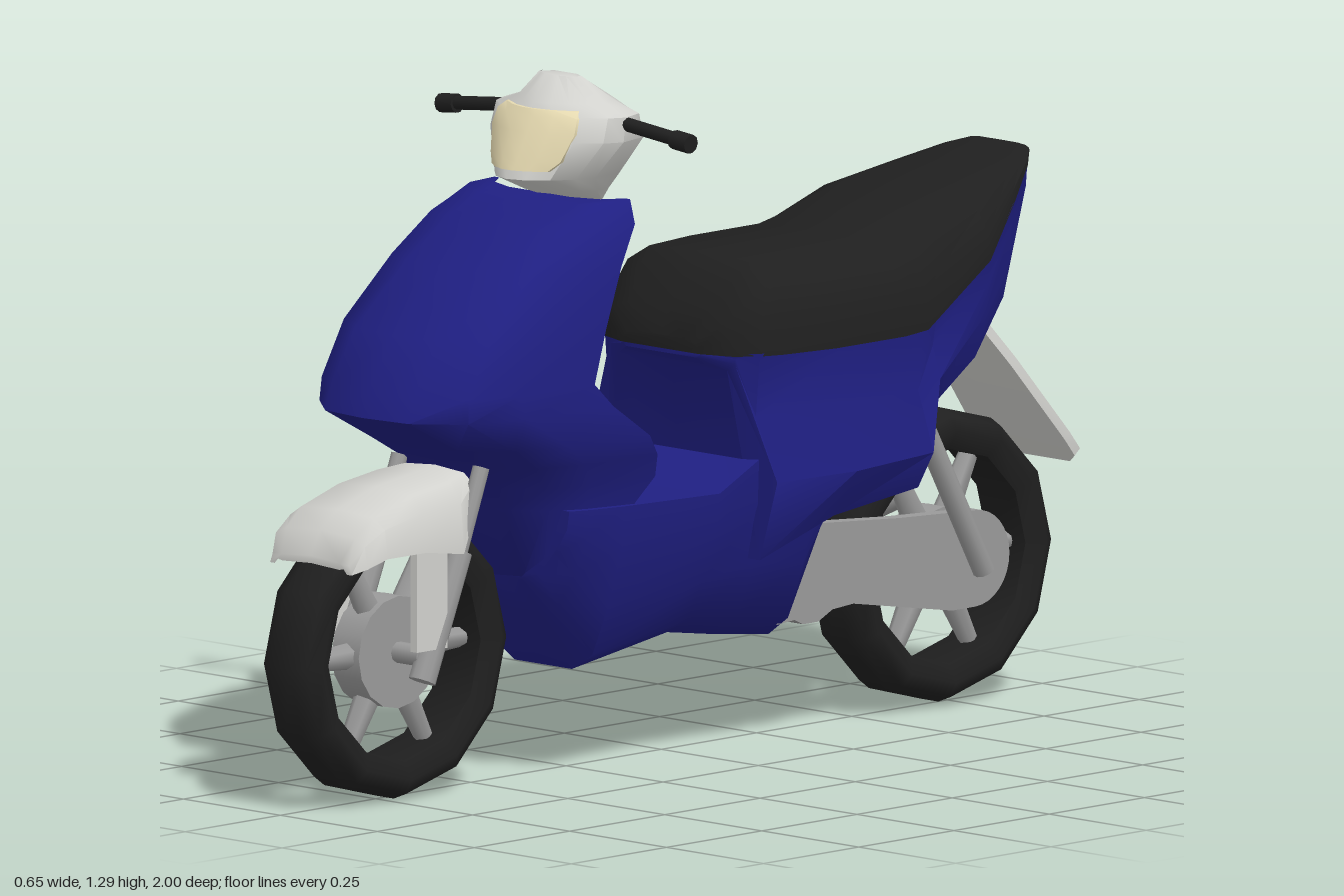
import * as THREE from 'three';
import { toCreasedNormals } from 'three/addons/utils/BufferGeometryUtils.js';

const mat = (name, color) => new THREE.MeshStandardMaterial({ name, color });

// Skin a series of closed rings of [x, y, z] points, with flat end caps
function loft(rings, crease = 0.7) {
  const n = rings[0].length, pos = [], idx = [];
  rings.forEach(r => r.forEach(p => pos.push(...p)));
  for (let i = 0; i < rings.length - 1; i++) for (let j = 0; j < n; j++) {
    const a = i * n + j, b = i * n + (j + 1) % n;
    idx.push(a, b, a + n, b, b + n, a + n);
  }
  // Caps are triangulated so that concave sections stay correct
  [0, rings.length - 1].forEach(k => {
    const r = rings[k], span = c => Math.max(...r.map(p => p[c])) - Math.min(...r.map(p => p[c]));
    const v = span(1) >= span(2) ? 1 : 2;
    const contour = r.map(p => new THREE.Vector2(p[0], p[v]));
    const ccw = !THREE.ShapeUtils.isClockWise(contour);
    THREE.ShapeUtils.triangulateShape(contour, []).forEach(([a, b, c]) => {
      const o = k * n, same = (THREE.ShapeUtils.area([contour[a], contour[b], contour[c]]) > 0) === ccw;
      // the cap runs against the ring at the start, with it at the end
      if (same === (k === 0)) idx.push(o + a, o + c, o + b);
      else idx.push(o + a, o + b, o + c);
    });
  });
  // Turn the skin outward
  let vol = 0;
  const P = i => new THREE.Vector3().fromArray(pos, i * 3);
  for (let i = 0; i < idx.length; i += 3) vol += P(idx[i]).dot(P(idx[i + 1]).cross(P(idx[i + 2])));
  if (vol < 0) idx.reverse();
  const g = new THREE.BufferGeometry();
  g.setAttribute('position', new THREE.Float32BufferAttribute(pos, 3));
  g.setIndex(idx);
  return toCreasedNormals(g, crease);
}

// Complete a half section that starts and ends on the centre line
const mirror = h => [...h, ...h.slice(1, -1).reverse().map(([x, y, z]) => [-x, y, z])];

export function createModel() {
  const root = new THREE.Group();
  root.name = 'scooter';
  const blue = mat('blue paint', 0x1f1f82), black = mat('black rubber', 0x1f1f1f);
  const light = mat('light grey plastic', 0xd2d2ce), metal = mat('grey metal', 0x9a9a9a);
  const cream = mat('headlight cream', 0xe5d9b0), red = mat('reflector red', 0xc24444);
  [blue, light, black].forEach(m => { m.side = THREE.DoubleSide; });

  const add = (name, geo, m, parent = root) => {
    const mesh = new THREE.Mesh(geo, m);
    mesh.name = name;
    parent.add(mesh);
    return mesh;
  };
  // Rod between two points
  const rod = (name, a, b, r1, r2, m, parent = root, sides = 10) => {
    const A = new THREE.Vector3(...a), B = new THREE.Vector3(...b), d = B.clone().sub(A);
    const mesh = add(name, new THREE.CylinderGeometry(r2, r1, d.length(), sides), m, parent);
    mesh.position.copy(A).add(B).multiplyScalar(0.5);
    mesh.quaternion.setFromUnitVectors(new THREE.Vector3(0, 1, 0), d.normalize());
  };

  // Wheels
  const tyreProfile = [[0.2, -0.05], [0.235, -0.07], [0.262, -0.055], [0.275, -0.022], [0.275, 0.022],
    [0.262, 0.055], [0.235, 0.07], [0.2, 0.05], [0.2, -0.05]].map(p => new THREE.Vector2(...p));
  const wheel = (name, y, z, hub) => {
    const g = new THREE.Group();
    g.name = name;
    g.position.set(0, y, z);
    add('tyre', new THREE.LatheGeometry(tyreProfile, 12), black, g).rotation.z = Math.PI / 2;
    rod('hub', [-0.035, 0, 0], [0.035, 0, 0], hub, hub, metal, g, 16);
    rod('axle', [-0.1, 0, 0], [0.1, 0, 0], 0.02, 0.02, metal, g);
    for (let i = 0; i < 6; i++) {
      const a = i * Math.PI / 3, c = Math.cos(a), s = Math.sin(a);
      rod('spoke', [0, s * 0.05, c * 0.05], [0, s * 0.21, c * 0.21], 0.028, 0.018, metal, g, 6);
    }
    root.add(g);
  };
  wheel('frontWheel', 0.275, 0.725, 0.105);
  wheel('rearWheel', 0.28, -0.705, 0.09);

  // Front fork, fender and its stays
  for (const s of [-1, 1]) {
    rod('forkTube', [s * 0.105, 0.4, 0.66], [s * 0.105, 0.61, 0.58], 0.016, 0.016, metal);
    rod('forkLeg', [s * 0.105, 0.23, 0.735], [s * 0.105, 0.46, 0.635], 0.026, 0.023, metal);
    add('fenderStay', new THREE.BoxGeometry(0.018, 0.2, 0.08), light).position.set(s * 0.118, 0.39, 0.73);
  }
  const fenderRows = [[0.92, 0.475, 0.45, 0.105], [0.895, 0.52, 0.46, 0.122], [0.85, 0.553, 0.475, 0.13],
    [0.75, 0.583, 0.475, 0.132], [0.65, 0.597, 0.46, 0.13], [0.595, 0.605, 0.53, 0.105]];
  add('frontFender', loft(fenderRows.map(([z, t, b, w]) => {
    const m = t - (t - b) * 0.32;
    return mirror([[0, t, z], [w * 0.72, t - 0.006, z], [w * 0.94, m, z], [w, b, z],
      [w - 0.012, b, z], [w * 0.94 - 0.014, m - 0.008, z], [w * 0.69, t - 0.018, z], [0, t - 0.014, z]]);
  }), 0.9), light);

  // Leg shield: height, front, rear edge, recess depth, half width
  const shieldRows = [[1.08, 0.4, 0.26, 0.32, 0.175], [1.04, 0.475, 0.28, 0.37, 0.207], [0.97, 0.575, 0.33, 0.43, 0.222],
    [0.86, 0.705, 0.385, 0.51, 0.236], [0.76, 0.77, 0.415, 0.54, 0.236], [0.715, 0.785, 0.37, 0.53, 0.24],
    [0.65, 0.66, 0.28, 0.5, 0.246], [0.61, 0.59, 0.25, 0.48, 0.236], [0.565, 0.545, 0.235, 0.46, 0.215],
    [0.52, 0.51, 0.27, 0.43, 0.2], [0.38, 0.435, 0.36, 0.39, 0.15]];
  add('legShield', loft(shieldRows.map(([y, f, b, r, w]) => {
    const d = f - b;
    return mirror([[0, y, f], [w * 0.45, y, f - d * 0.03], [w * 0.8, y, f - d * 0.2], [w * 0.95, y, f - d * 0.48],
      [w, y, b], [w * 0.93, y, b], [w * 0.78, y, b + (r - b) * 0.65], [w * 0.45, y, r], [0, y, r]]);
  }), 1.15), blue);

  // Floor and belly: z, top, bottom, half width
  const bellyRows = [[0.435, 0.52, 0.38, 0.19], [0.395, 0.52, 0.31, 0.205], [0.31, 0.517, 0.197, 0.21], [0.06, 0.51, 0.235, 0.21],
    [-0.07, 0.57, 0.215, 0.205], [-0.21, 0.56, 0.198, 0.2], [-0.29, 0.5, 0.39, 0.18]];
  add('floorAndBelly', loft(bellyRows.map(([z, t, b, w]) => {
    const h = t - b;
    return mirror([[0, t, z], [w, t, z], [w * 0.97, t - h * 0.25, z], [w * 0.8, t - h * 0.6, z],
      [w * 0.6, b + h * 0.1, z], [w * 0.35, b, z], [0, b, z]]);
  }), 0.9), blue);

  // Rear body: z, top, its half width, widest height and half width, bottom and half width
  const rearRows = [[0, 0.755, 0.1, 0.748, 0.1, 0.742, 0.09], [-0.03, 0.755, 0.17, 0.735, 0.16, 0.72, 0.14],
    [-0.055, 0.755, 0.2, 0.52, 0.245, 0.37, 0.2], [-0.25, 0.755, 0.232, 0.52, 0.26, 0.43, 0.2],
    [-0.45, 0.755, 0.232, 0.53, 0.26, 0.46, 0.22], [-0.49, 0.78, 0.23, 0.66, 0.238, 0.6, 0.21],
    [-0.64, 0.87, 0.224, 0.76, 0.21, 0.675, 0.18], [-0.75, 0.945, 0.17, 0.85, 0.165, 0.77, 0.145],
    [-0.85, 1.0, 0.11, 0.96, 0.105, 0.93, 0.095], [-0.88, 1.02, 0.08, 1.005, 0.08, 0.995, 0.075]];
  add('rearBody', loft(rearRows.map(([z, t, wt, m, wm, b, wb]) =>
    mirror([[0, t, z], [wt, t, z], [wt * 0.95, t + (m - t) * 0.5, z], [wm, m, z], [wb, b, z], [0, b, z]])
  ), 0.9), blue);

  // Seat: z, top, lower edge, half width
  const seatRows = [[0.003, 0.775, 0.75, 0.1], [-0.02, 0.825, 0.75, 0.165], [-0.06, 0.88, 0.75, 0.2], [-0.1, 0.918, 0.75, 0.215],
    [-0.22, 0.92, 0.75, 0.236], [-0.4, 0.92, 0.75, 0.237], [-0.46, 0.932, 0.755, 0.237], [-0.63, 0.978, 0.862, 0.23],
    [-0.76, 1.003, 0.948, 0.165], [-0.845, 1.022, 1.0, 0.115], [-0.885, 1.03, 1.02, 0.08]];
  add('seat', loft(seatRows.map(([z, t, b, w]) => {
    const h = t - b;
    return mirror([[0, t, z], [w * 0.6, t - h * 0.03, z], [w * 0.86, t - h * 0.22, z],
      [w * 0.98, t - h * 0.6, z], [w, b, z], [0, b, z]]);
  }), 0.8), black);

  // Handlebar cowl: height, front, rear, half width
  const cowlRows = [[1.05, 0.25, 0.2, 0.065], [1.085, 0.34, 0.19, 0.085], [1.115, 0.408, 0.185, 0.11],
    [1.185, 0.378, 0.17, 0.162], [1.23, 0.35, 0.18, 0.16], [1.25, 0.335, 0.19, 0.1], [1.295, 0.29, 0.25, 0.05]];
  const cowlFront = (k, f, b) => f - (f - b) * 0.46 * k * k;
  add('handlebarCowl', loft(cowlRows.map(([y, f, b, w]) => mirror([
    ...[0, 0.35, 0.65, 0.9].map(k => [w * k, y, cowlFront(k, f, b)]),
    [w, y, (f + b) / 2 - 0.01], [w * 0.9, y, b + 0.025], [w * 0.6, y, b], [0, y, b]])), 0.9), light);

  // Headlight glass follows the front of the cowl: height, cowl front, rear and half width, own half width
  const lampRows = [[1.132, 0.401, 0.182, 0.122, 0.072], [1.15, 0.393, 0.178, 0.137, 0.09], [1.2, 0.369, 0.173, 0.161, 0.106],
    [1.228, 0.351, 0.18, 0.16, 0.102], [1.24, 0.343, 0.185, 0.13, 0.09]];
  add('headlight', loft(lampRows.map(([y, f, b, w, half]) => {
    const xs = [-1, -0.6, -0.2, 0.2, 0.6, 1].map(k => k * half), z = x => cowlFront(x / w, f, b);
    return [...xs.map(x => [x, y, z(x) + 0.006]), ...xs.reverse().map(x => [x, y, z(x) - 0.002])];
  })), cream);

  // Handlebars, grips and rear shocks
  for (const s of [-1, 1]) {
    rod('handlebar', [s * 0.12, 1.22, 0.25], [s * 0.3, 1.202, 0.25], 0.013, 0.013, black);
    rod('gripEnd', [s * 0.28, 1.203, 0.25], [s * 0.322, 1.199, 0.25], 0.018, 0.018, black);
    rod('rearShock', [s * 0.125, 0.26, -0.72], [s * 0.125, 0.64, -0.51], 0.021, 0.021, metal);
  }

  // Swing arm with rounded axle end
  const arm = new THREE.Shape();
  arm.moveTo(0.2, 0.22);
  arm.lineTo(0.4, 0.235);
  arm.lineTo(0.66, 0.19);
  arm.absarc(0.72, 0.28, 0.09, -Math.PI / 2, Math.PI / 2, false);
  arm.lineTo(0.52, 0.38);
  arm.lineTo(0.26, 0.4);
  const armMesh = add('swingArm', new THREE.ExtrudeGeometry(arm, { depth: 0.03, bevelEnabled: false, curveSegments: 8 }), metal);
  armMesh.rotation.y = Math.PI / 2;
  armMesh.position.x = 0.072;

  // Engine, short muffler and exhaust pipe
  rod('engineCase', [-0.12, 0.3, -0.29], [0.1, 0.3, -0.29], 0.09, 0.09, metal, root, 14);
  rod('engineCylinder', [-0.1, 0.335, -0.39], [-0.1, 0.335, -0.2], 0.06, 0.06, metal, root, 12);
  rod('muffler', [-0.2, 0.37, -0.81], [-0.2, 0.335, -0.61], 0.046, 0.052, metal, root, 14);
  rod('mufflerCone', [-0.2, 0.335, -0.61], [-0.195, 0.325, -0.56], 0.052, 0.024, metal, root, 14);
  rod('exhaustTip', [-0.19, 0.395, -0.85], [-0.19, 0.38, -0.79], 0.024, 0.024, metal);
  const pipe = new THREE.CatmullRomCurve3([[-0.197, 0.328, -0.58], [-0.19, 0.28, -0.48], [-0.16, 0.25, -0.42],
    [-0.1, 0.235, -0.34], [-0.04, 0.25, -0.24]].map(p => new THREE.Vector3(...p)));
  add('exhaustPipe', new THREE.TubeGeometry(pipe, 16, 0.023, 8), metal);

  // Tail flap and reflector
  const flapRows = [[0.76, -0.735, 0.07], [0.64, -0.83, 0.1], [0.49, -0.95, 0.12], [0.455, -0.982, 0.115], [0.44, -0.995, 0.09]];
  add('tailFlap', loft(flapRows.map(([y, z, w]) => [[-w, y, z], [w, y, z], [w, y - 0.012, z + 0.014], [-w, y - 0.012, z + 0.014]]), 0.5), light);
  const reflector = add('reflector', new THREE.BoxGeometry(0.13, 0.055, 0.018), red);
  reflector.position.set(0, 0.728, -0.767);
  reflector.rotation.x = 0.67;
  return root;
}
